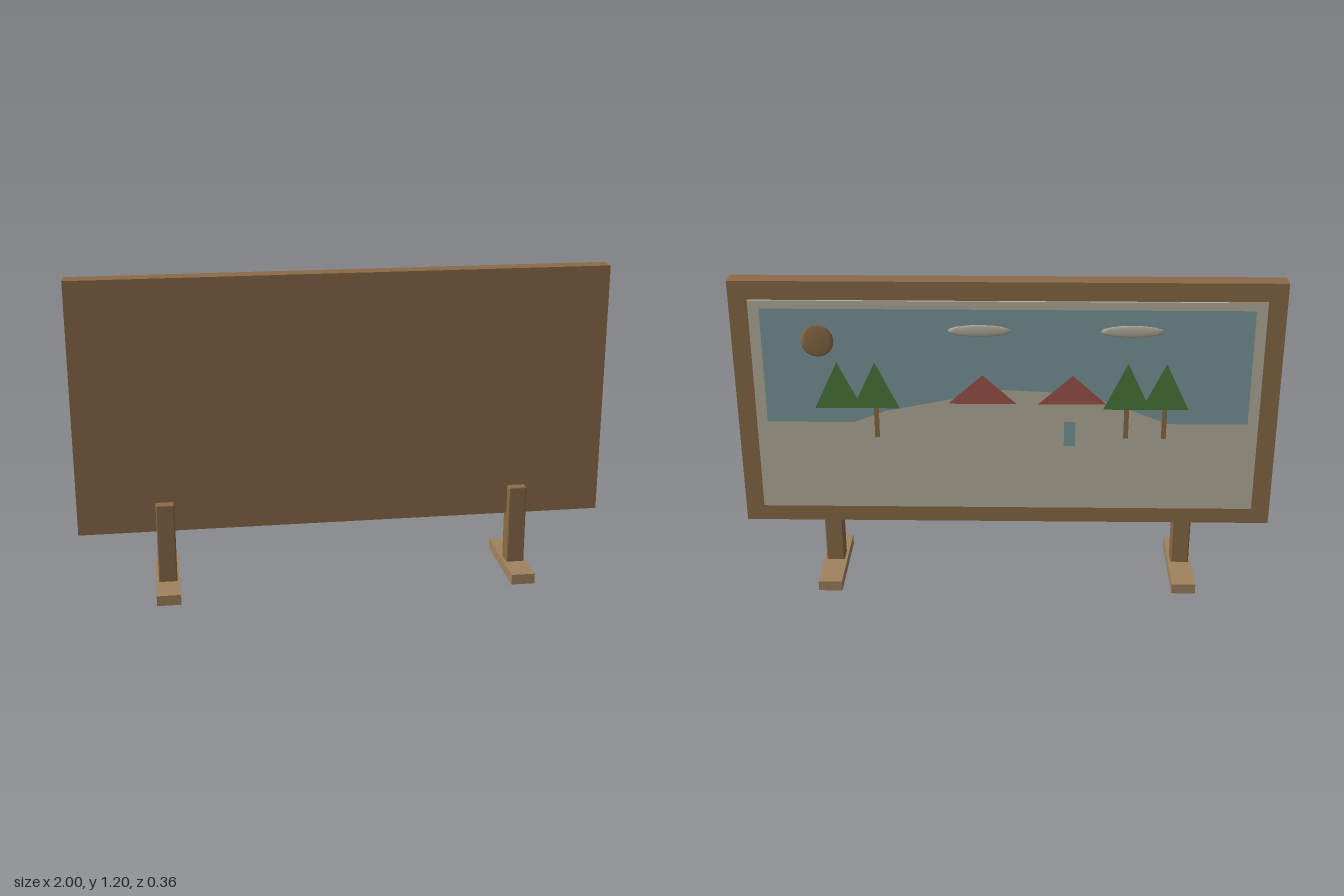
import * as THREE from 'three';
import { RoundedBoxGeometry } from 'three/addons/geometries/RoundedBoxGeometry.js';

const material = (name, color) => {
  const m = new THREE.MeshStandardMaterial({ color, side: THREE.DoubleSide });
  m.name = name;
  return m;
};

export function createModel() {
  const wood = material('brown wood', 0x8b6b48);
  const paleWood = material('pale wood', 0xa0835f);
  const cream = material('cream', 0xb8b19f);
  const blue = material('sky blue', 0x7d9ba0);
  const green = material('leaf green', 0x4c7a3c);
  const red = material('roof red', 0xa0554c);

  const model = new THREE.Group();
  model.name = 'standingBoard';

  const add = (name, geometry, mat, x = 0, y = 0, z = 0) => {
    const mesh = new THREE.Mesh(geometry, mat);
    mesh.name = name;
    mesh.position.set(x, y, z);
    model.add(mesh);
    return mesh;
  };
  // Flat painted shape in the x-y plane
  const paint = (name, mat, z, points) =>
    add(name, new THREE.ShapeGeometry(new THREE.Shape(points.map(([x, y]) => new THREE.Vector2(x, y)))), mat, 0, 0, z);
  const rect = (name, mat, z, x0, x1, y0, y1) =>
    paint(name, mat, z, [[x0, y0], [x1, y0], [x1, y1], [x0, y1]]);

  // Board with the picture panel on its rear face
  add('board', new THREE.BoxGeometry(2, 0.965, 0.07), wood, 0, 0.7175, -0.01);
  add('picturePanel', new THREE.BoxGeometry(1.86, 0.83, 0.012), cream, 0, 0.715, -0.047);

  // Two posts, each on a long foot
  for (const x of [-0.675, 0.675]) {
    add('foot', new THREE.BoxGeometry(0.09, 0.04, 0.36), paleWood, x, 0.02, 0);
    add('post', new RoundedBoxGeometry(0.07, 0.32, 0.068, 2, 0.006), wood, x, 0.19, 0.0215);
  }

  // Sky and hill
  rect('sky', blue, -0.055, -0.89, 0.89, 0.655, 1.1);
  paint('hill', cream, -0.062, [
    [0.77, 0.58], [0.45, 0.704], [0.012, 0.792], [-0.15, 0.784],
    [-0.37, 0.745], [-0.76, 0.595], [-0.247, 0.476], [0.283, 0.48],
  ]);
  paint('path', cream, -0.067, [[-0.1, 0.437], [-0.18, 0.441], [-0.18, 0.55]]);

  // Houses
  for (const x of [0.09, -0.24]) {
    rect('houseWall', cream, -0.064, x - 0.1, x + 0.1, 0.58, 0.74);
    paint('roof', red, -0.068, [[x - 0.126, 0.738], [x + 0.126, 0.738], [x, 0.852]]);
  }
  rect('door', blue, -0.068, -0.253, -0.211, 0.568, 0.668);

  // Trees
  for (const x of [0.62, 0.482, -0.44, -0.58]) {
    if (x < 0.6) rect('trunk', wood, -0.066, x - 0.009, x + 0.009, 0.6, 0.73);
    paint('treeCrown', green, -0.068, [[x - 0.087, 0.718], [x + 0.087, 0.718], [x, 0.9]]);
  }

  // Flattened sun and clouds
  add('sun', new THREE.SphereGeometry(1, 8, 8), wood, 0.685, 0.984, -0.07).scale.set(0.06, 0.062, 0.004);
  for (const x of [0.1, -0.45]) {
    add('cloud', new THREE.SphereGeometry(1, 10, 8), cream, x, 1.025, -0.07).scale.set(0.114, 0.023, 0.004);
  }
  return model;
}
